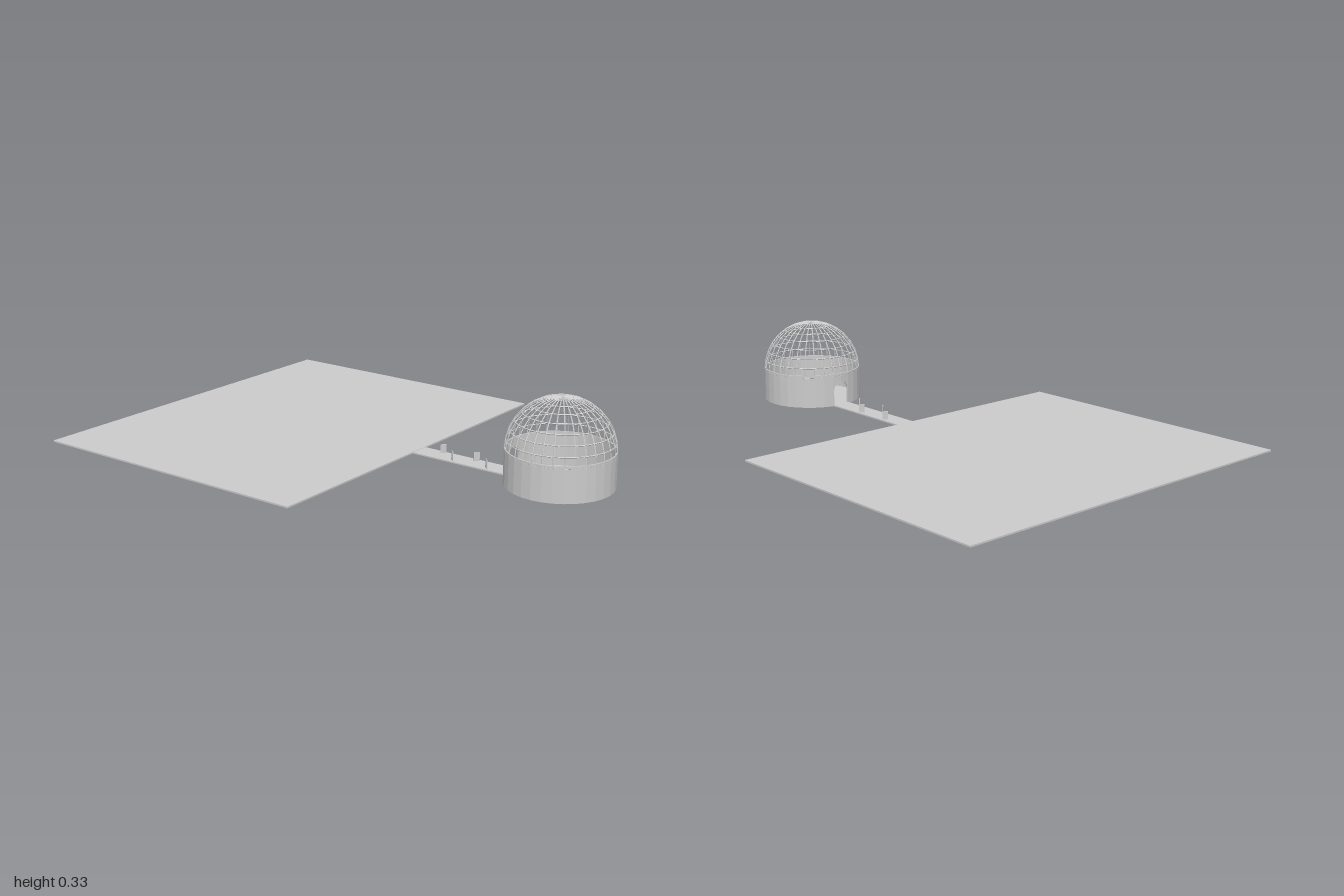
import * as THREE from 'three';
import { mergeGeometries } from 'three/addons/utils/BufferGeometryUtils.js';

const R = 0.2, SIDES = 32, STEP = (Math.PI * 2) / SIDES, CX = 0.8;
const WALL_H = 0.135, WALL_T = 0.005, DOME_Y = 0.126;

const material = new THREE.MeshStandardMaterial({ color: 0xcccccc, flatShading: true });

function add(parent, name, geometry, x = 0, y = 0, z = 0) {
  const mesh = new THREE.Mesh(geometry, material);
  mesh.name = name;
  mesh.position.set(x, y, z);
  parent.add(mesh);
  return mesh;
}

// One flat facet of the drum; door = +1 / -1 cuts half an arched doorway into it
function wallPanel(door) {
  const half = R * Math.sin(STEP / 2);
  const shape = new THREE.Shape();
  if (!door) {
    shape.moveTo(-half, 0).lineTo(half, 0).lineTo(half, WALL_H).lineTo(-half, WALL_H);
  } else {
    const seam = -door * half, doorW = 0.035, spring = 0.065;
    shape.moveTo(seam + door * doorW, 0);
    shape.lineTo(-seam, 0).lineTo(-seam, WALL_H).lineTo(seam, WALL_H);
    for (let i = 0; i <= 6; i++) {
      const t = (i / 6) * Math.PI / 2;
      shape.lineTo(seam + door * doorW * Math.sin(t), spring + doorW * Math.cos(t));
    }
  }
  return new THREE.ExtrudeGeometry(shape, { depth: WALL_T, bevelEnabled: false });
}

// Faceted drum with the doorway facing -x
function drumWall() {
  const panels = [];
  for (let i = 0; i < SIDES; i++) {
    const door = i === 0 ? 1 : i === SIDES - 1 ? -1 : 0;
    const g = wallPanel(door);
    g.translate(0, 0, R * Math.cos(STEP / 2) - WALL_T);
    g.rotateY(-Math.PI / 2 + (i + 0.5) * STEP);
    panels.push(g);
  }
  return mergeGeometries(panels);
}

// Open lattice hemisphere: meridian arches and horizontal rings
function domeLattice() {
  const bars = [], r = R - 0.002, bar = 0.0022;
  for (let i = 0; i < SIDES / 2; i++) {
    bars.push(new THREE.TorusGeometry(r, bar, 4, 16, Math.PI).rotateY(i * STEP));
  }
  for (let i = 0; i < 8; i++) {
    const t = i * STEP;
    const ring = new THREE.TorusGeometry(r * Math.cos(t), bar, 4, SIDES);
    bars.push(ring.rotateX(Math.PI / 2).translate(0, r * Math.sin(t), 0));
  }
  return mergeGeometries(bars);
}

export function createModel() {
  const model = new THREE.Group();
  model.name = 'domeAndPlatform';

  // Ground slab and walkway
  add(model, 'platform', new THREE.BoxGeometry(1.19, 0.006, 1.525), -0.405, 0.003, 0);
  add(model, 'walkway', new THREE.BoxGeometry(0.415, 0.005, 0.08), 0.3975, 0.0025, 0);

  // Domed building
  const building = new THREE.Group();
  building.name = 'domeBuilding';
  building.position.x = CX;
  model.add(building);
  add(building, 'floor', new THREE.CylinderGeometry(R - 0.002, R - 0.002, 0.004, SIDES), 0, 0.002, 0);
  add(building, 'drumWall', drumWall());
  add(building, 'domeLattice', domeLattice(), 0, DOME_Y, 0);

  // Thin upright markers alternating along both sides of the walkway
  [0.285, 0.358, 0.435, 0.508].forEach((x, i) => {
    const side = i % 2 ? 1 : -1;
    const marker = add(model, 'walkwayMarker', new THREE.BoxGeometry(0.022, 0.034, 0.003), x, 0.022, side * 0.024);
    marker.rotation.y = -side * Math.PI / 4;
  });

  return model;
}
